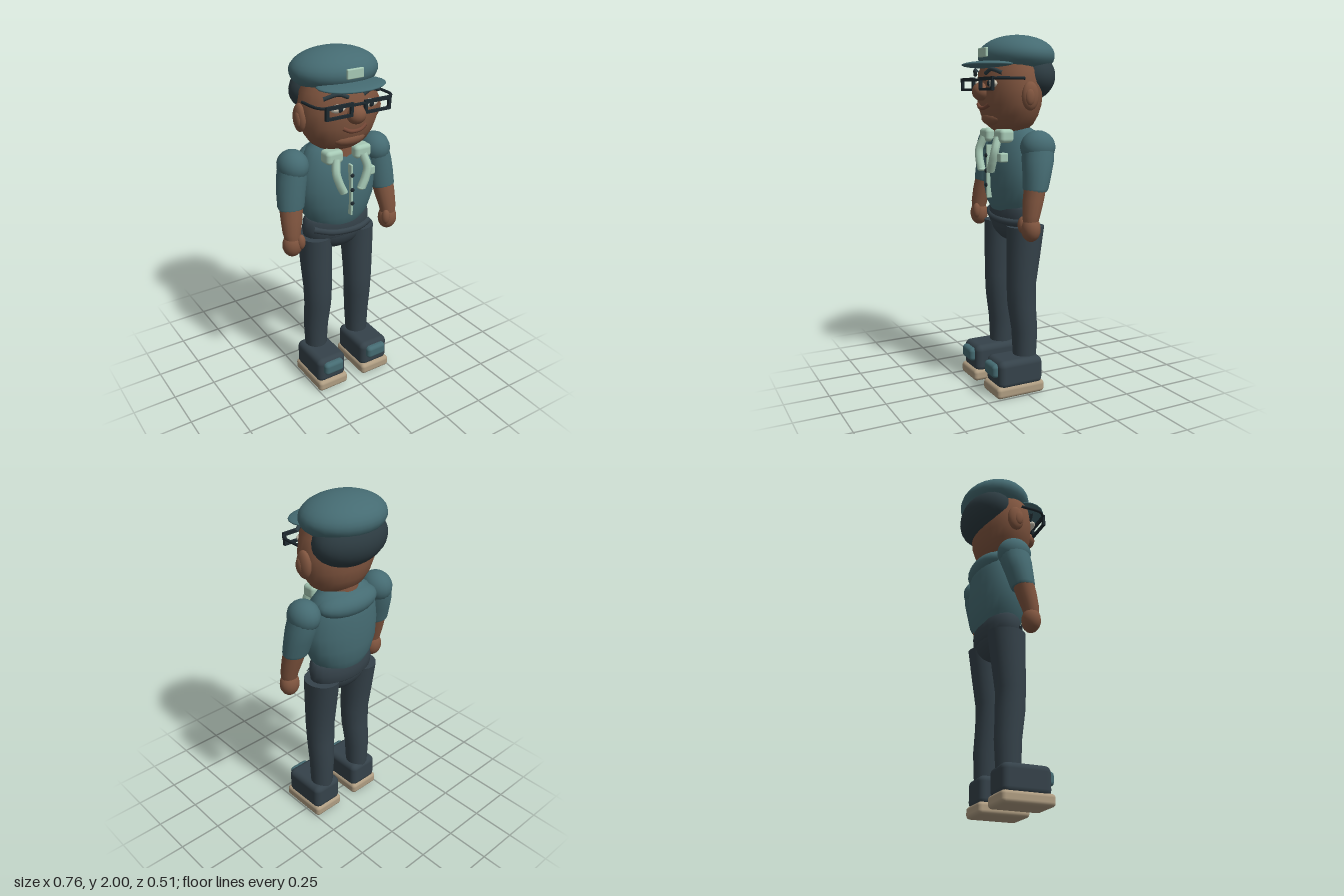
import * as THREE from 'three';
import { RoundedBoxGeometry } from 'three/addons/geometries/RoundedBoxGeometry.js';

const mat = (name, color) => {
  const m = new THREE.MeshStandardMaterial({ color });
  m.name = name;
  return m;
};

// Stacked elliptical rings from bottom to top, closed at both ends: [y, x, z, radiusX, radiusZ]
function loft(sections, n = 20) {
  const first = sections[0], last = sections[sections.length - 1];
  const tip = (s) => [s[0], s[1], s[2], 0, 0];
  const rows = [tip(first), first, ...sections, last, tip(last)];
  const pos = [], index = [];
  rows.forEach(([y, x, z, rx, rz], i) => {
    for (let j = 0; j < n; j++) {
      const t = (j / n) * Math.PI * 2;
      pos.push(x + Math.cos(t) * rx, y, z + Math.sin(t) * rz);
      if (i === rows.length - 1) continue;
      const a = i * n + j, b = i * n + ((j + 1) % n);
      index.push(a, a + n, b, b, a + n, b + n);
    }
  });
  const g = new THREE.BufferGeometry();
  g.setAttribute('position', new THREE.Float32BufferAttribute(pos, 3));
  g.setIndex(index);
  g.computeVertexNormals();
  return g;
}

const tube = (points, r, seg = 14) => new THREE.TubeGeometry(
  new THREE.CatmullRomCurve3(points.map((p) => new THREE.Vector3(...p))), seg, r, 8);

export function createModel() {
  const model = new THREE.Group();
  const teal = mat('teal cloth', 0x456b72);
  const slate = mat('slate trousers', 0x35424a);
  const hairMat = mat('dark hair', 0x2d3c42);
  const skin = mat('brown skin', 0x80553f);
  const lip = mat('lip brown', 0x744736);
  const mint = mat('pale mint trim', 0xa6c9b5);
  const tan = mat('tan sole', 0xaf9d82);
  const black = mat('blue black', 0x1d282e);
  const white = mat('eye white', 0xcfc9b8);

  const add = (name, geo, material, x = 0, y = 0, z = 0) => {
    const m = new THREE.Mesh(geo, material);
    m.name = name;
    m.position.set(x, y, z);
    model.add(m);
    return m;
  };
  const ball = (name, material, x, y, z, rx, ry, rz, n = 20) => {
    const m = add(name, new THREE.SphereGeometry(1, n, Math.ceil(n * 0.7)), material, x, y, z);
    m.scale.set(rx, ry, rz);
    return m;
  };
  const block = (name, material, w, h, d, r, x, y, z) =>
    add(name, new RoundedBoxGeometry(w, h, d, 3, r), material, x, y, z);

  // Head, hair and neck
  add('head', loft([
    [1.46, 0, -0.01, 0.07, 0.05], [1.48, 0, -0.01, 0.12, 0.088], [1.51, 0, -0.01, 0.165, 0.122],
    [1.56, 0, -0.01, 0.2, 0.148], [1.62, 0, -0.01, 0.225, 0.164], [1.7, 0, -0.01, 0.235, 0.17],
    [1.8, 0, -0.01, 0.22, 0.16], [1.88, 0, -0.02, 0.17, 0.12],
  ], 28), skin);
  add('neck', new THREE.CylinderGeometry(0.1, 0.11, 0.14, 20), skin, 0, 1.45, -0.03);
  ball('hair', hairMat, 0, 1.775, -0.105, 0.232, 0.145, 0.15, 24);

  // Cap
  ball('capCrown', teal, 0, 1.885, -0.053, 0.248, 0.115, 0.205, 24);
  ball('capBrim', teal, 0, 1.835, 0.115, 0.195, 0.02, 0.14, 22);
  block('capBadge', mint, 0.1, 0.052, 0.018, 0.006, 0, 1.9, 0.15);

  // Nose and mouth
  ball('nose', skin, 0, 1.69, 0.165, 0.055, 0.05, 0.048, 16);
  add('mouth', tube([[-0.07, 1.622, 0.147], [-0.035, 1.604, 0.156], [0, 1.6, 0.158],
    [0.035, 1.604, 0.156], [0.07, 1.622, 0.147]], 0.011), lip);
  ball('chin', skin, 0, 1.545, 0.095, 0.1, 0.042, 0.048, 16);

  // Torso with back yoke
  add('shirt', loft([
    [1.03, 0, -0.037, 0.165, 0.115], [1.08, 0, -0.037, 0.2, 0.137], [1.16, 0, -0.036, 0.232, 0.148],
    [1.25, 0, -0.035, 0.24, 0.15], [1.34, 0, -0.038, 0.226, 0.145], [1.42, 0, -0.045, 0.2, 0.128],
    [1.47, 0, -0.05, 0.165, 0.1], [1.492, 0, -0.05, 0.12, 0.07],
  ], 26), teal);
  ball('yoke', teal, 0, 1.41, -0.085, 0.2, 0.082, 0.11, 22);

  // Shirt front: placket, buttons and pocket
  block('placket', mint, 0.014, 0.3, 0.035, 0.005, 0, 1.25, 0.116);
  for (const y of [1.34, 1.255, 1.175]) ball('button', black, 0, y, 0.136, 0.012, 0.012, 0.008, 10);
  block('chestPocket', mint, 0.05, 0.05, 0.05, 0.008, 0.133, 1.335, 0.1);

  // Waistband and hips
  add('waistband', loft([
    [0.94, 0, -0.038, 0.19, 0.1], [0.955, 0, -0.038, 0.207, 0.112], [1.0, 0, -0.038, 0.213, 0.115],
    [1.045, 0, -0.036, 0.208, 0.112], [1.06, 0, -0.036, 0.19, 0.1],
  ], 24), slate);
  ball('hips', slate, 0, 0.965, -0.035, 0.185, 0.12, 0.108);
  add('beltFold', tube([[-0.18, 1.012, 0.022], [-0.09, 0.99, 0.06], [0, 0.98, 0.07],
    [0.1, 0.975, 0.06], [0.19, 0.975, 0.018]], 0.02), slate);

  for (const s of [-1, 1]) {
    // Ears, eyes and brows
    ball('ear', skin, s * 0.233, 1.665, -0.015, 0.03, 0.077, 0.05, 16);
    ball('innerEar', skin, s * 0.252, 1.66, -0.005, 0.016, 0.045, 0.028, 12);
    ball('eyeWhite', white, s * 0.1, 1.732, 0.145, 0.045, 0.022, 0.022, 14);
    ball('iris', black, s * 0.095, 1.732, 0.16, 0.016, 0.017, 0.012, 12);
    add('eyebrow', tube([[s * 0.045, 1.787, 0.157], [s * 0.1, 1.807, 0.15], [s * 0.17, 1.785, 0.118]], 0.011), hairMat);

    // Glasses
    const rim = new THREE.Shape([[-0.083, -0.036], [0.078, -0.036], [0.083, 0.036], [-0.083, 0.036]]
      .map((p) => new THREE.Vector2(...p)));
    rim.holes.push(new THREE.Path([[-0.066, -0.022], [-0.066, 0.018], [0.066, 0.018], [0.063, -0.022]]
      .map((p) => new THREE.Vector2(...p))));
    add('glassesRim', new THREE.ExtrudeGeometry(rim, { depth: 0.016, bevelEnabled: false }), black, s * 0.117, 1.73, 0.18);
    add('glassesArm', tube([[s * 0.19, 1.757, 0.188], [s * 0.226, 1.758, 0.15], [s * 0.236, 1.757, 0.02]], 0.008), black);

    // Collar and neckerchief ends
    block('collarKnot', mint, 0.105, 0.075, 0.085, 0.022, s * 0.09, 1.45, 0.07);
    const strap = add('neckerchiefEnd', tube([[s * 0.085, 1.44, 0.105], [s * 0.1, 1.37, 0.13],
      [s * 0.083, 1.31, 0.136], [s * 0.058, 1.258, 0.136]], 0.024), mint);
    strap.name = 'neckerchiefEnd';
    ball('neckerchiefTip', mint, s * 0.058, 1.258, 0.136, 0.024, 0.012, 0.024, 10);

    // Arms
    ball('shoulder', teal, s * 0.267, 1.395, -0.043, 0.086, 0.09, 0.097, 18);
    add('sleeve', loft([
      [1.165, s * 0.303, -0.01, 0.07, 0.06], [1.18, s * 0.302, -0.011, 0.077, 0.067],
      [1.26, s * 0.292, -0.025, 0.082, 0.077], [1.33, s * 0.28, -0.037, 0.084, 0.088],
      [1.4, s * 0.268, -0.043, 0.078, 0.086],
    ], 18), teal);
    add('forearm', loft([
      [1.0, s * 0.322, 0.03, 0.044, 0.04], [1.04, s * 0.322, 0.025, 0.052, 0.047],
      [1.12, s * 0.312, 0.008, 0.062, 0.056], [1.19, s * 0.303, -0.008, 0.068, 0.058],
    ], 16), skin);
    ball('hand', skin, s * 0.322, 0.965, 0.028, 0.058, 0.07, 0.052, 16);
    ball('thumb', skin, s * 0.287, 0.985, 0.062, 0.026, 0.045, 0.024, 12);

    // Legs
    add('trouserLeg', loft([
      [0.18, s * 0.148, -0.032, 0.065, 0.066], [0.35, s * 0.146, -0.032, 0.074, 0.074],
      [0.5, s * 0.14, -0.017, 0.081, 0.081], [0.62, s * 0.14, -0.014, 0.086, 0.083],
      [0.78, s * 0.142, -0.026, 0.092, 0.095], [0.95, s * 0.143, -0.038, 0.097, 0.108],
    ], 18), slate);

    // Shoes
    block('shoeUpper', slate, 0.19, 0.16, 0.275, 0.035, s * 0.152, 0.13, 0.035);
    block('shoeSole', tan, 0.198, 0.068, 0.298, 0.022, s * 0.152, 0.034, 0.039);
    block('toePatch', teal, 0.128, 0.078, 0.06, 0.022, s * 0.152, 0.152, 0.17);
  }
  block('glassesBridge', black, 0.075, 0.014, 0.014, 0.004, 0, 1.752, 0.19);

  return model;
}
